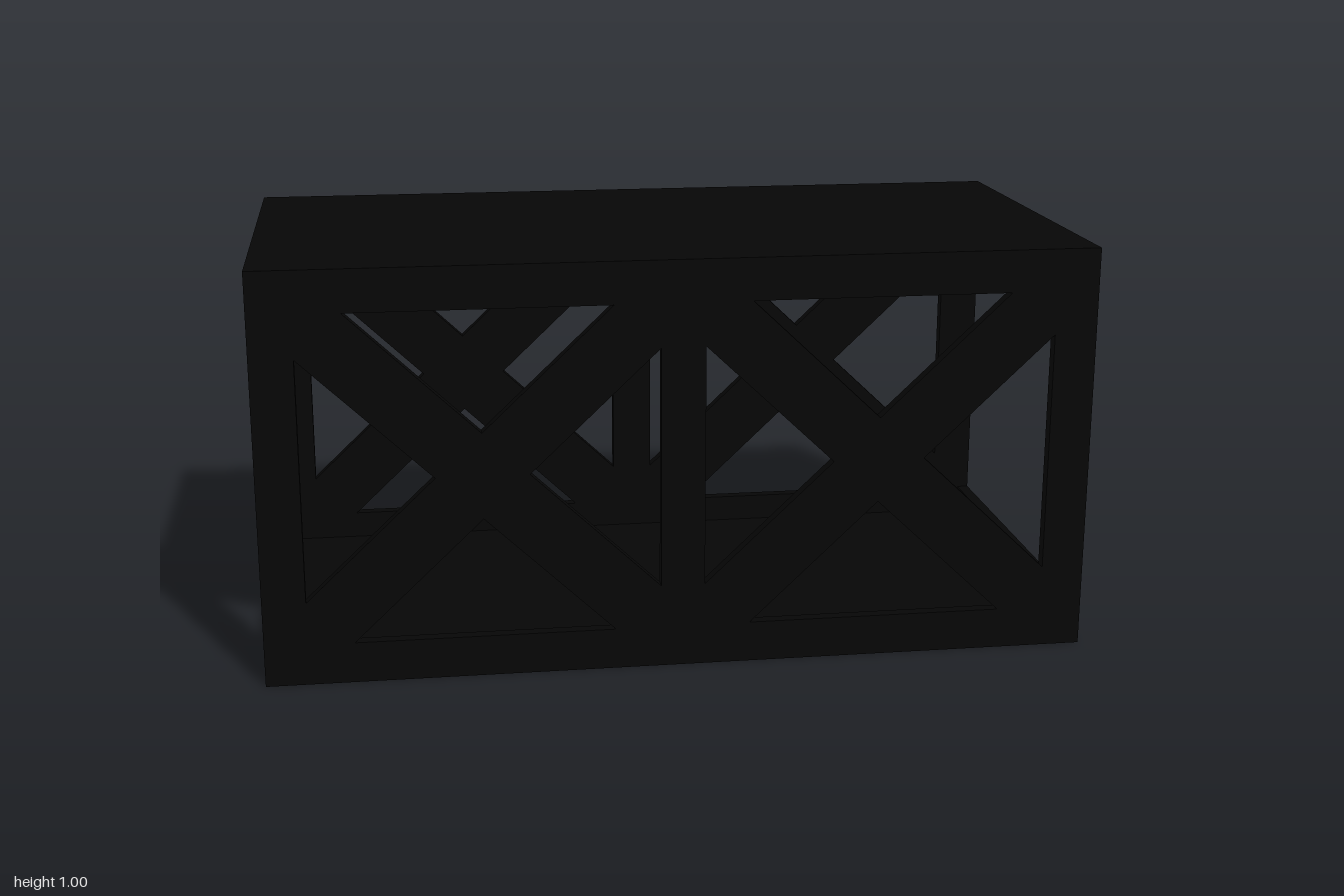
import * as THREE from 'three';

const HALF_LENGTH = 1, HALF_WIDTH = 0.5, HEIGHT = 1.003;
const THICK = 0.03;
const INNER = HALF_WIDTH - THICK;
const FLOOR = 0.1, CEILING = 0.9, LINTEL = 0.89;

const shapeOf = (points) => new THREE.Shape(points.map(([x, y]) => new THREE.Vector2(x, y)));

// Side wall outline with four triangular openings around each crossed brace
function trussShape() {
  const shape = shapeOf([[-HALF_LENGTH, 0], [HALF_LENGTH, 0], [HALF_LENGTH, HEIGHT], [-HALF_LENGTH, HEIGHT]]);
  const slope = 0.947, rise = 0.105, reach = 0.422, mid = 0.5;
  const run = rise / slope;
  const sideHalf = slope * reach - rise;
  const topHalf = (CEILING - mid - rise) / slope;
  const bottomHalf = (mid - rise - FLOOR) / slope;
  for (const cx of [-0.475, 0.475]) {
    const openings = [
      [[cx, mid + rise], [cx + topHalf, CEILING], [cx - topHalf, CEILING]],
      [[cx, mid - rise], [cx - bottomHalf, FLOOR], [cx + bottomHalf, FLOOR]],
    ];
    for (const s of [-1, 1]) {
      openings.push([[cx + s * run, mid], [cx + s * reach, mid + sideHalf], [cx + s * reach, mid - sideHalf]]);
    }
    for (const points of openings) shape.holes.push(shapeOf(points));
  }
  return shape;
}

export function createModel() {
  const model = new THREE.Group();
  model.name = 'trussBridgeSection';
  const blackSteel = new THREE.MeshStandardMaterial({ color: 0x060606 });
  blackSteel.name = 'black steel';

  const add = (name, geometry, x, y, z) => {
    const mesh = new THREE.Mesh(geometry, blackSteel);
    mesh.name = name;
    mesh.position.set(x, y, z);
    model.add(mesh);
  };

  // Front and back truss walls
  const wall = new THREE.ExtrudeGeometry(trussShape(), { depth: THICK, bevelEnabled: false });
  add('frontTruss', wall, 0, 0, INNER);
  add('backTruss', wall, 0, 0, -HALF_WIDTH);

  // Thin floor and roof plates, recessed behind the edge beams
  const plate = new THREE.BoxGeometry(2 * (HALF_LENGTH - THICK), THICK, 2 * INNER);
  add('floorPlate', plate, 0, THICK / 2, 0);
  add('roofPlate', plate, 0, HEIGHT - THICK / 2, 0);

  // End beams: a flat sill below and a lintel with a slightly raised underside above
  const sill = new THREE.BoxGeometry(THICK, FLOOR, 2 * INNER);
  const section = shapeOf([[-INNER, LINTEL], [0, CEILING], [INNER, LINTEL], [INNER, HEIGHT], [-INNER, HEIGHT]]);
  const lintel = new THREE.ExtrudeGeometry(section, { depth: THICK, bevelEnabled: false });
  lintel.translate(0, 0, -THICK / 2).rotateY(Math.PI / 2);
  for (const [side, s] of [['left', 1], ['right', -1]]) {
    const x = s * (HALF_LENGTH - THICK / 2);
    add(side + 'Sill', sill, x, FLOOR / 2, 0);
    add(side + 'Lintel', lintel, x, 0, 0);
  }

  return model;
}
